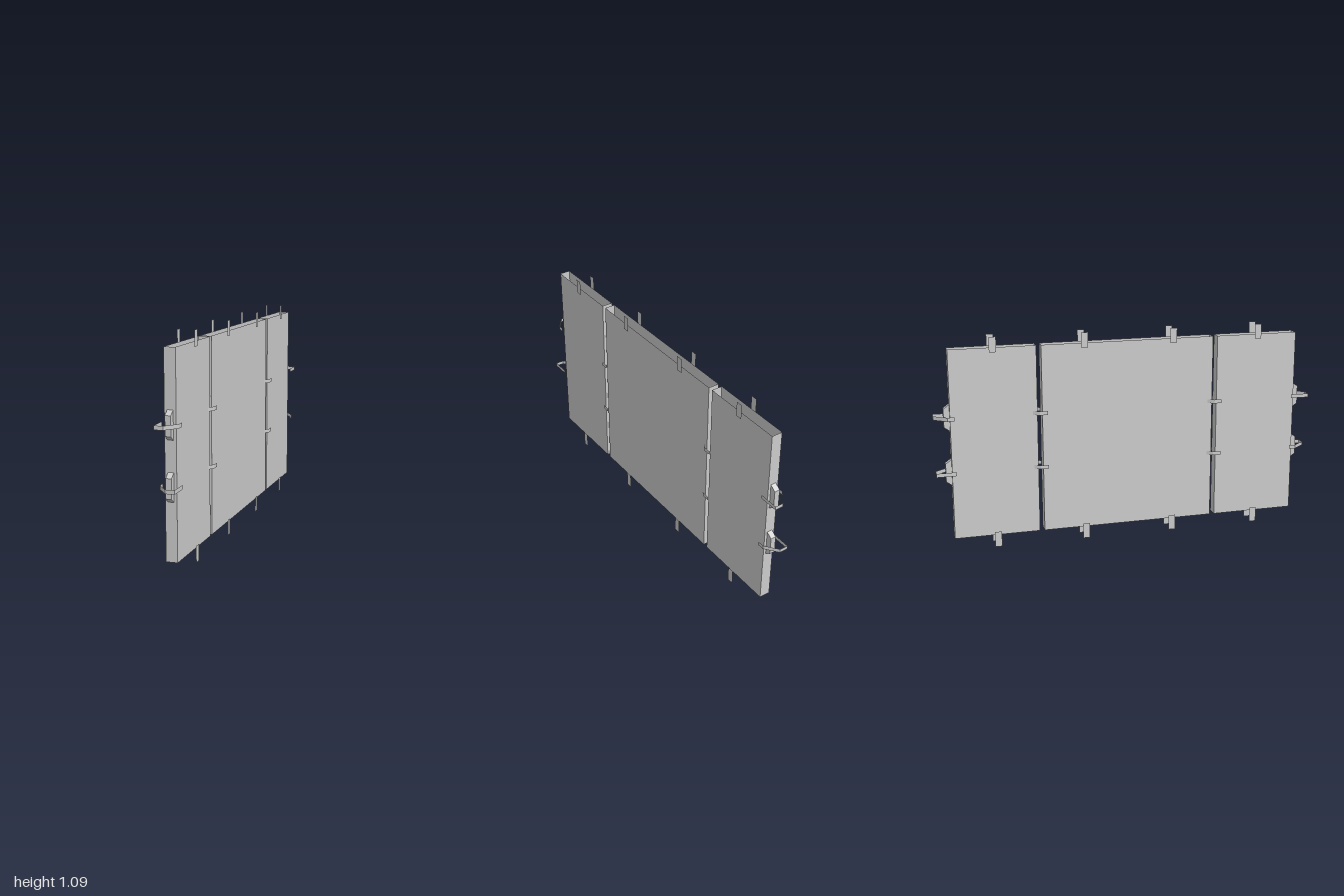
import * as THREE from 'three';

const mat = new THREE.MeshStandardMaterial({ color: 0xcccccc, flatShading: true, side: THREE.DoubleSide });

// Upright ribbon following a path of [x, z] points between two heights
function ribbon(name, path, y0, y1, closed = false) {
  const pos = [];
  const n = closed ? path.length : path.length - 1;
  for (let i = 0; i < n; i++) {
    const [ax, az] = path[i];
    const [bx, bz] = path[(i + 1) % path.length];
    pos.push(ax, y0, az, bx, y0, bz, bx, y1, bz, ax, y0, az, bx, y1, bz, ax, y1, az);
  }
  const geo = new THREE.BufferGeometry();
  geo.setAttribute('position', new THREE.Float32BufferAttribute(pos, 3));
  geo.computeVertexNormals();
  const mesh = new THREE.Mesh(geo, mat);
  mesh.name = name;
  return mesh;
}

export function createModel() {
  const model = new THREE.Group();
  model.name = 'panelWall';
  const T = 0.028, OUT = 0.047;
  const bandHeights = [0.408, 0.691];

  // Three hollow panels, open at top and bottom
  for (const [z0, z1] of [[0.48, 0.92], [-0.455, 0.455], [-0.92, -0.48]]) {
    const loop = [[-T, z1], [T, z1], [T, z0], [-T, z0]];
    model.add(ribbon('panel', loop, 0.06, 1.037, true));
  }

  // Bevelled end block, profile in z and y, extruded along x
  const profile = new THREE.Shape([
    [0, -0.068], [0.03, -0.047], [0.03, 0.047], [0, 0.068],
  ].map(([a, b]) => new THREE.Vector2(a, b)));
  const blockGeo = new THREE.ExtrudeGeometry(profile, { depth: 0.028, bevelEnabled: false });
  blockGeo.translate(0, 0, -0.014);
  blockGeo.rotateY(-Math.PI / 2);

  // One half of the wall; the other is the same turned half round
  for (const turn of [0, Math.PI]) {
    const half = new THREE.Group();
    half.name = turn ? 'backHalf' : 'frontHalf';
    half.rotation.y = turn;

    bandHeights.forEach((y, i) => {
      // End block and hooked loop, the upper one mirrored
      const block = new THREE.Mesh(blockGeo, mat);
      block.name = 'endBlock';
      block.position.set(0, y, 0.92);
      half.add(block);

      const s = i ? -1 : 1;
      const hook = [[OUT, 0.9], [OUT, 1], [0.003, 1], [-OUT, 0.935], [-OUT, 0.9]];
      half.add(ribbon('endLoop', hook.map(([x, z]) => [x * s, z]), y - 0.01, y + 0.01));

      // Bands across both gaps between panels
      for (const z of [-0.467, 0.467]) {
        const band = [[T, z + 0.036], [OUT, z + 0.005], [OUT, z - 0.036]];
        half.add(ribbon('gapBand', band, y - 0.01, y + 0.01));
      }
    });

    // Flat tabs along the top and bottom edges
    for (const z of [-0.7, -0.235, 0.235, 0.7]) {
      for (const [y0, y1] of [[0, 0.08], [1.015, 1.092]]) {
        half.add(ribbon('edgeTab', [[0.042, z + 0.018], [0.042, z - 0.018]], y0, y1));
      }
    }
    model.add(half);
  }
  return model;
}
